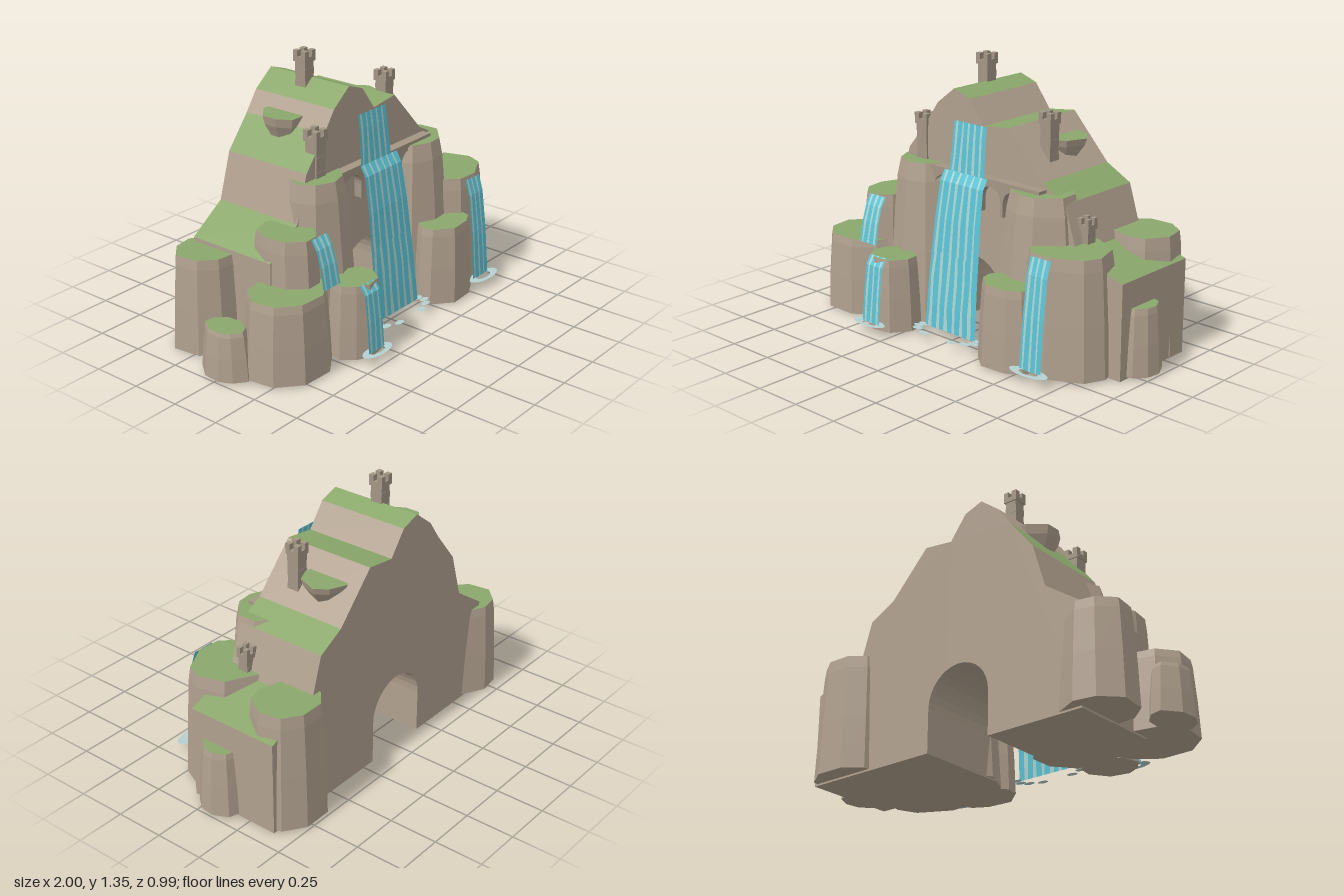
import * as THREE from 'three';
import { mergeGeometries } from 'three/addons/utils/BufferGeometryUtils.js';

const mat = (name, color, side = THREE.FrontSide) => {
  const m = new THREE.MeshStandardMaterial({ color, side });
  m.name = name;
  return m;
};

export function createModel() {
  const group = new THREE.Group();
  const rock = mat('rock', 0xb0a08e);
  const stone = mat('stone', 0xa39684);
  const grass = mat('grass', 0x8aa76b);
  const water = mat('water', 0x58c2d4, THREE.DoubleSide);
  const paleWater = mat('paleWater', 0xaed2d0, THREE.DoubleSide);
  const foam = mat('foam', 0xb4cfcf, THREE.DoubleSide);

  let seed = 7;
  const rand = () => (seed = (seed * 16807) % 2147483647) / 2147483647;
  const add = (name, geo, material) => {
    const m = new THREE.Mesh(geo, material);
    m.name = name;
    group.add(m);
    return m;
  };

  // Flat-shades a geometry and sorts its faces into rock and grass by slope
  const turf = (geo, isGrass) => {
    const g = geo.index ? geo.toNonIndexed() : geo;
    g.computeVertexNormals();
    const p = g.attributes.position.array, n = g.attributes.normal.array;
    const lists = [[], []];
    for (let i = 0; i < p.length; i += 9) {
      lists[isGrass(n[i], n[i + 1]) ? 1 : 0].push(...p.slice(i, i + 9));
    }
    const out = new THREE.BufferGeometry();
    out.setAttribute('position', new THREE.Float32BufferAttribute(lists.flat(), 3));
    out.addGroup(0, lists[0].length / 3, 0);
    out.addGroup(lists[0].length / 3, lists[1].length / 3, 1);
    out.computeVertexNormals();
    return out;
  };

  // Main mountain: extruded skyline with a tunnel through its foot
  const skyline = [[0.91, 0], [0.91, 0.475], [0.64, 0.56], [0.57, 0.78], [0.43, 0.855],
    [0.22, 1.08], [0.06, 1.06], [-0.03, 1.18], [-0.13, 1.215], [-0.24, 1.13],
    [-0.31, 1.03], [-0.44, 0.87], [-0.51, 0.64], [-0.70, 0.51], [-0.70, 0]];
  const shape = new THREE.Shape();
  shape.moveTo(0.18, 0);
  skyline.forEach(([x, y]) => shape.lineTo(x, y));
  shape.lineTo(-0.18, 0);
  shape.lineTo(-0.18, 0.22);
  shape.absarc(0, 0.22, 0.18, Math.PI, 0, true);
  shape.lineTo(0.18, 0);
  const body = new THREE.ExtrudeGeometry(shape, { depth: 0.485, bevelEnabled: false, curveSegments: 8 });
  body.translate(0, 0, -0.395);
  add('mountain', turf(body, (nx, ny) => ny > 0.69 || (nx < 0 && ny > 0.58)), [rock, grass]);

  // Faceted rock: irregular rings stacked as [height, scale], closed at both ends
  const crag = (name, x, z, rx, rz, y0, rings, sides = 9) => {
    const turn = rand() * 6.28;
    const outline = Array.from({ length: sides }, (_, i) => {
      const a = turn + ((i + (rand() - 0.5) * 0.4) / sides) * Math.PI * 2;
      const r = 0.96 + rand() * 0.08;
      return [Math.sin(a) * rx * r, Math.cos(a) * rz * r];
    });
    const pos = [], idx = [];
    rings.forEach(([y, s]) => outline.forEach(([ox, oz]) => pos.push(x + ox * s, y0 + y, z + oz * s)));
    const last = (rings.length - 1) * sides;
    for (let r = 0; r < rings.length - 1; r++) {
      for (let i = 0; i < sides; i++) {
        const a = r * sides + i, b = r * sides + (i + 1) % sides;
        idx.push(a, b, b + sides, a, b + sides, a + sides);
      }
    }
    for (let i = 1; i < sides - 1; i++) {
      idx.push(0, i + 1, i, last, last + i, last + i + 1);
    }
    const g = new THREE.BufferGeometry();
    g.setAttribute('position', new THREE.Float32BufferAttribute(pos, 3));
    g.setIndex(idx);
    add(name, turf(g, (nx, ny) => ny > 0.75), [rock, grass]);
  };

  // Standing pillars: x, z, base radii, height, top scale
  [['backRightPillar', 0.72, -0.32, 0.2, 0.18, 0.6, 0.84],
    ['frontRightPillar', 0.62, 0.11, 0.245, 0.215, 0.59, 0.84],
    ['lowFrontRightPillar', 0.4, 0.265, 0.18, 0.145, 0.41, 0.84],
    ['outerRightPillar', 0.885, -0.07, 0.115, 0.125, 0.34, 0.78],
    ['backLeftPillar', -0.72, -0.29, 0.185, 0.175, 0.49, 0.84],
    ['frontLeftPillar', -0.68, 0.17, 0.235, 0.195, 0.4, 0.86],
    ['upperLeftPillar', -0.57, 0.08, 0.15, 0.19, 0.63, 0.82],
    ['lowFrontLeftPillar', -0.35, 0.305, 0.145, 0.12, 0.38, 0.84],
    ['outerLeftPillar', -0.905, -0.005, 0.095, 0.135, 0.25, 0.78],
    ['tallLeftPillar', -0.34, 0.06, 0.22, 0.2, 0.83, 0.64],
    ['tallRightPillar', 0.41, 0.05, 0.24, 0.21, 0.81, 0.68],
  ].forEach(([name, x, z, rx, rz, h, top]) => {
    const k = 1 - top;
    crag(name, x, z, rx, rz, 0.01,
      [[0, 1], [h * 0.45, 1 - k * 0.3], [h * 0.88, 1 - k * 0.75], [h - 0.01, top]]);
  });

  // Overhanging ledges on the upper slopes
  crag('rightLedge', 0.31, -0.21, 0.12, 0.12, 0.85, [[0, 0.2], [0.12, 0.9], [0.155, 1]], 8);
  crag('leftLedge', -0.29, -0.17, 0.115, 0.12, 0.9, [[0, 0.3], [0.13, 0.9], [0.175, 1]], 8);

  // Watchtowers: stacked courses, a crown and four corner merlons
  const box = (w, h, d, x, y, z) => new THREE.BoxGeometry(w, h, d).translate(x, y, z);
  const tower = (name, x, z, y0, y1, w) => {
    const parts = [], merlon = 0.03, crown = 0.025;
    const shaft = y1 - y0 - merlon - crown;
    const n = Math.max(2, Math.round(shaft / 0.035)), h = shaft / n;
    for (let i = 0; i < n; i++) {
      const s = i % 2 ? w * 0.88 : w * 0.92;
      parts.push(box(s, h, s, x, y0 + h * (i + 0.5), z));
    }
    parts.push(box(w * 1.08, crown, w * 1.08, x, y1 - merlon - crown / 2, z));
    for (const sx of [-1, 1]) {
      for (const sz of [-1, 1]) {
        parts.push(box(w * 0.38, merlon, w * 0.38, x + sx * w * 0.35, y1 - merlon / 2, z + sz * w * 0.35));
      }
    }
    add(name, mergeGeometries(parts), stone);
  };
  tower('summitTower', -0.15, -0.165, 1.1, 1.35, 0.07);
  tower('rightTower', 0.34, -0.065, 0.91, 1.15, 0.07);
  tower('leftTower', -0.345, 0.065, 0.82, 1.06, 0.075);
  tower('smallTower', 0.63, 0, 0.57, 0.71, 0.06);

  // Walkway across the cliff, carried on a row of arches
  add('walkway', box(0.7, 0.022, 0.05, 0.105, 0.815, 0.115), stone);
  const arcade = new THREE.Shape();
  arcade.moveTo(-0.24, 0.805);
  for (let i = 0; i < 4; i++) {
    const x = -0.24 + i * 0.15;
    arcade.lineTo(x, 0.65);
    arcade.lineTo(x + 0.015, 0.65);
    arcade.lineTo(x + 0.015, 0.72);
    arcade.absarc(x + 0.0825, 0.72, 0.0675, Math.PI, 0, true);
  }
  arcade.lineTo(0.36, 0.65);
  arcade.lineTo(0.375, 0.65);
  arcade.lineTo(0.375, 0.805);
  add('arches', new THREE.ExtrudeGeometry(arcade, { depth: 0.045, bevelEnabled: false, curveSegments: 6 })
    .translate(0, 0, 0.09), stone);

  // Waterfalls: striped sheets through rows of [y, z, xLeft, xRight]
  const waterfall = (name, rows, columns) => {
    const lists = [[], []];
    const edges = rows.map(() => Array.from({ length: columns + 1 }, (_, i) =>
      (i + (i > 0 && i < columns ? (rand() - 0.5) * 0.5 : 0)) / columns));
    const point = (r, c) => {
      const [y, z, a, b] = rows[r];
      return [a + (b - a) * edges[r][c], y, z];
    };
    for (let c = 0; c < columns; c++) {
      const list = lists[c % 3 === 1 ? 1 : 0];
      for (let r = 0; r < rows.length - 1; r++) {
        const a = point(r, c), b = point(r + 1, c), d = point(r + 1, c + 1), e = point(r, c + 1);
        list.push(...a, ...b, ...d, ...a, ...d, ...e);
      }
    }
    const g = new THREE.BufferGeometry();
    g.setAttribute('position', new THREE.Float32BufferAttribute(lists.flat(), 3));
    g.addGroup(0, lists[0].length / 3, 0);
    g.addGroup(lists[0].length / 3, lists[1].length / 3, 1);
    g.computeVertexNormals();
    add(name, g, [water, paleWater]);
  };
  waterfall('upperMainFall', [[1.07, 0.12, -0.1, 0.11], [1, 0.13, -0.1, 0.11], [0.9, 0.14, -0.105, 0.115], [0.82, 0.148, -0.11, 0.12]], 16);
  waterfall('middleMainFall', [[0.83, 0.16, -0.13, 0.15], [0.78, 0.19, -0.13, 0.15], [0.6, 0.22, -0.138, 0.158], [0.43, 0.24, -0.145, 0.165]], 19);
  waterfall('lowerMainFall', [[0.43, 0.24, -0.145, 0.165], [0.3, 0.256, -0.148, 0.17], [0.17, 0.27, -0.15, 0.175], [0.05, 0.28, -0.152, 0.18]], 19);
  waterfall('upperLeftFall', [[0.63, 0.235, -0.58, -0.47], [0.58, 0.265, -0.58, -0.47], [0.5, 0.29, -0.582, -0.468], [0.395, 0.31, -0.585, -0.465]], 9);
  waterfall('lowerLeftFall', [[0.385, 0.39, -0.42, -0.31], [0.34, 0.42, -0.42, -0.31], [0.2, 0.437, -0.422, -0.31], [0.05, 0.45, -0.425, -0.31]], 9);
  waterfall('rightFall', [[0.58, 0.3, 0.545, 0.665], [0.5, 0.325, 0.545, 0.665], [0.3, 0.35, 0.543, 0.667], [0.05, 0.37, 0.54, 0.67]], 10);

  // Foam on the water: rings under the side falls, patches round the main fall
  const flat = (geo, rx, rz, x, z) => geo.rotateX(-Math.PI / 2).scale(rx, 1, rz).translate(x, 0.053, z);
  add('leftFoamRing', flat(new THREE.RingGeometry(0.5, 1, 20), 0.1, 0.043, -0.37, 0.455), foam);
  add('rightFoamRing', flat(new THREE.RingGeometry(0.5, 1, 20), 0.11, 0.046, 0.61, 0.385), foam);
  [[-0.17, 0.31], [-0.15, 0.34], [-0.08, 0.365], [0.1, 0.365], [0.165, 0.34], [0.195, 0.31], [0.19, 0.275], [-0.165, 0.28]]
    .forEach(([x, z]) => add('foamPatch', flat(new THREE.CircleGeometry(1, 10), 0.03, 0.017, x, z), foam));

  return group;
}
